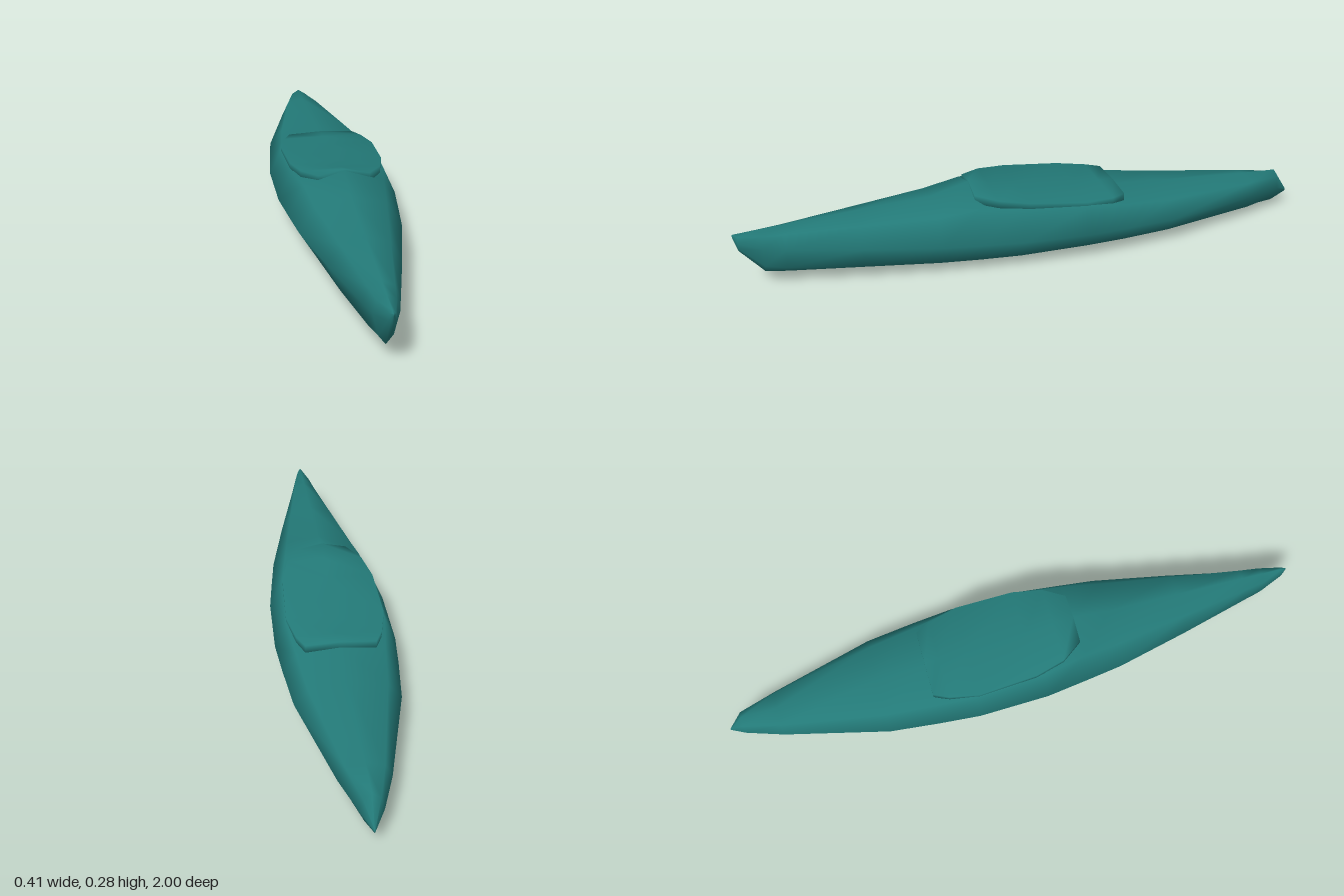
import * as THREE from 'three';

const material = new THREE.MeshStandardMaterial({ color: 0x237a78, side: THREE.DoubleSide });

// Skin a list of closed rings (equal point counts) and cap both ends.
function loft(rings) {
  const n = rings[0].length, index = [];
  for (let r = 0; r < rings.length - 1; r++) {
    for (let i = 0; i < n; i++) {
      const a = r * n + i, b = r * n + (i + 1) % n;
      index.push(a, b, a + n, b, b + n, a + n);
    }
  }
  const last = (rings.length - 1) * n;
  for (let i = 1; i < n - 1; i++) {
    index.push(0, i + 1, i, last, last + i, last + i + 1);
  }
  const geometry = new THREE.BufferGeometry();
  geometry.setAttribute('position', new THREE.Float32BufferAttribute(rings.flat(2), 3));
  geometry.setIndex(index);
  geometry.computeVertexNormals();
  return geometry;
}

// Stations from stern to bow:
// z, keel y, chine x, chine y, beam x, beam y, shoulder x, shoulder y, ridge y
const stations = [
  [-1.0, 0.05, 0.001, 0.052, 0.002, 0.055, 0.001, 0.058, 0.06],
  [-0.945, 0.022, 0.02, 0.045, 0.037, 0.085, 0.026, 0.128, 0.145],
  [-0.82, 0.008, 0.052, 0.036, 0.08, 0.09, 0.058, 0.135, 0.15],
  [-0.47, 0.001, 0.118, 0.034, 0.17, 0.1, 0.125, 0.153, 0.172],
  [-0.3, 0.002, 0.136, 0.036, 0.19, 0.106, 0.145, 0.172, 0.186],
  [-0.16, 0.004, 0.146, 0.039, 0.203, 0.11, 0.164, 0.2, 0.198],
  [0.08, 0.008, 0.146, 0.041, 0.2, 0.118, 0.155, 0.22, 0.222],
  [0.22, 0.009, 0.132, 0.042, 0.183, 0.122, 0.132, 0.229, 0.272],
  [0.35, 0.011, 0.116, 0.044, 0.166, 0.126, 0.115, 0.212, 0.237],
  [0.6, 0.022, 0.076, 0.052, 0.112, 0.135, 0.076, 0.202, 0.224],
  [0.84, 0.038, 0.034, 0.068, 0.055, 0.145, 0.038, 0.193, 0.21],
  [0.91, 0.05, 0.022, 0.08, 0.038, 0.15, 0.028, 0.192, 0.206],
  [0.985, 0.138, 0.008, 0.15, 0.012, 0.17, 0.01, 0.193, 0.201],
  [1.0, 0.19, 0.001, 0.192, 0.002, 0.195, 0.001, 0.198, 0.2],
];

function hullRing([z, keel, cx, cy, bx, by, sx, sy, ridge]) {
  const side = [[cx, cy], [bx, by], [sx, sy]];
  return [
    [0, keel, z],
    ...side.map(([x, y]) => [x, y, z]),
    [0, ridge, z],
    ...side.reverse().map(([x, y]) => [-x, y, z]),
  ];
}

// Cockpit cover, stern to bow: z, half width, rim y, centre y
const coverRows = [
  [-0.3, 0.115, 0.201, 0.207],
  [-0.25, 0.14, 0.204, 0.206],
  [-0.15, 0.163, 0.213, 0.214],
  [0.05, 0.156, 0.237, 0.238],
  [0.15, 0.132, 0.25, 0.255],
  [0.22, 0.085, 0.259, 0.277],
];

function coverRing([z, w, y, mid]) {
  const base = y - 0.035;
  return [[w, base, z], [w, y, z], [0, mid, z], [-w, y, z], [-w, base, z]];
}

export function createModel() {
  const group = new THREE.Group();

  // Hull and deck in one smooth skin
  const hull = new THREE.Mesh(loft(stations.map(hullRing)), material);
  hull.name = 'hull';

  // Raised cover closing the cockpit
  const cover = new THREE.Mesh(loft(coverRows.map(coverRing)), material);
  cover.name = 'cockpitCover';

  group.add(hull, cover);
  return group;
}
